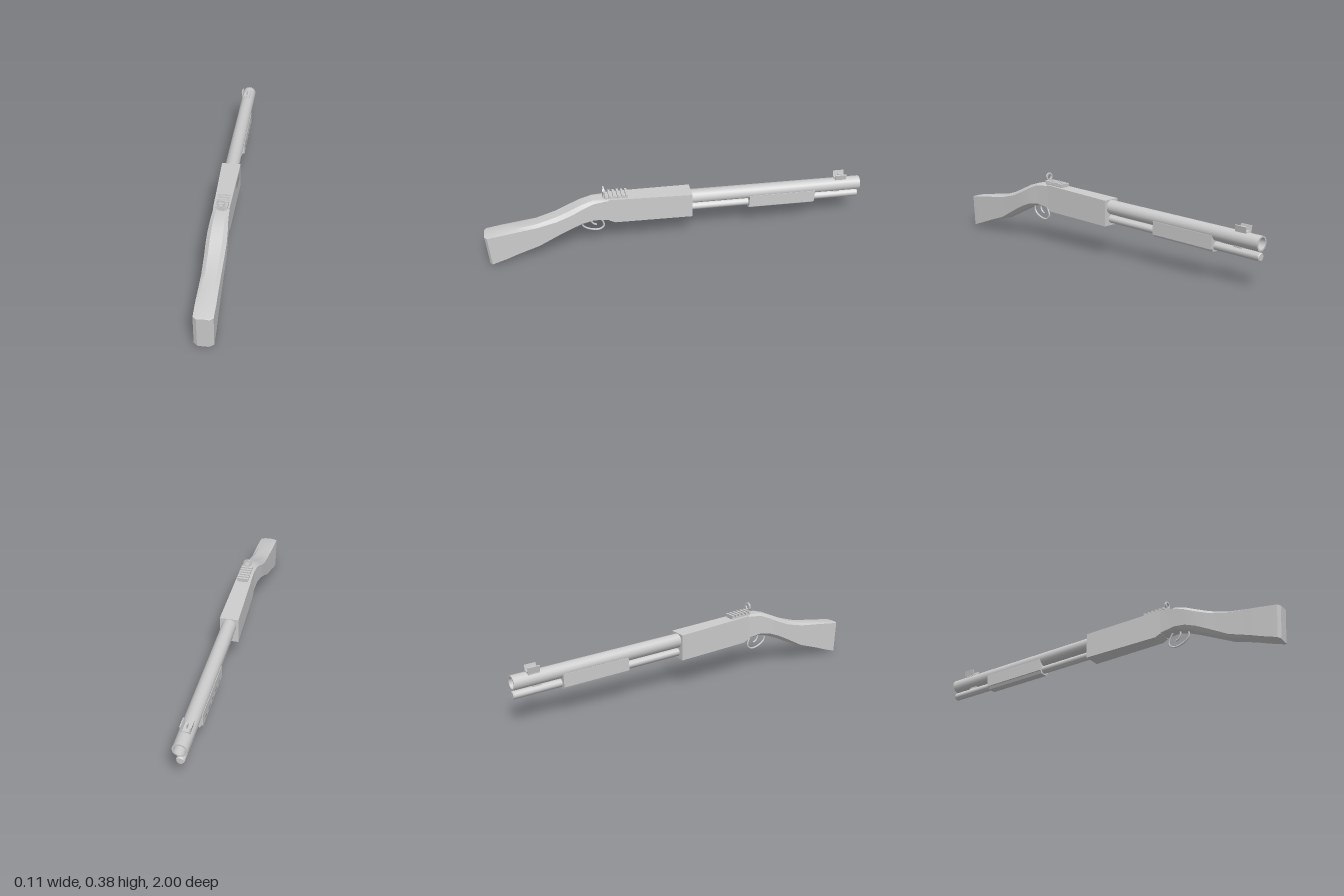
import * as THREE from 'three';
import { toCreasedNormals } from 'three/addons/utils/BufferGeometryUtils.js';

const grey = new THREE.MeshStandardMaterial({ color: 0xcccccc });

function add(parent, name, geometry, x = 0, y = 0, z = 0) {
  const mesh = new THREE.Mesh(geometry, grey);
  mesh.name = name;
  mesh.position.set(x, y, z);
  parent.add(mesh);
  return mesh;
}

// Side outline given as [z, y] points, extruded across x from x0 to x1
const sidePoints = (pts) => pts.map(([z, y]) => new THREE.Vector2(-z, y));
function sideExtrude(outline, holes, x0, x1) {
  const shape = new THREE.Shape(sidePoints(outline));
  for (const h of holes) shape.holes.push(new THREE.Path(sidePoints(h)));
  const g = new THREE.ExtrudeGeometry(shape, { depth: x1 - x0, bevelEnabled: false });
  return g.translate(0, 0, x0).rotateY(Math.PI / 2);
}
const rect = (z0, z1, y0, y1) => [[z0, y0], [z1, y0], [z1, y1], [z0, y1]];

// Chamfered sections [z, bottom, top, halfWidth, chamfer, lean] joined along z
function loft(sections, crease) {
  const pos = [], idx = [], n = 8;
  for (const [z, b, t, w, c, lean = 0] of sections) {
    const ring = [[0.6 * w, b], [w, b + c], [w, t - c], [0.6 * w, t],
      [-0.6 * w, t], [-w, t - c], [-w, b + c], [-0.6 * w, b]];
    for (const [x, y] of ring) pos.push(x, y, z - lean * (t - y) / (t - b));
  }
  for (let s = 0; s < sections.length - 1; s++) {
    for (let i = 0; i < n; i++) {
      const a = s * n + i, a2 = s * n + (i + 1) % n;
      idx.push(a, a2, a2 + n, a, a2 + n, a + n);
    }
  }
  const e = (sections.length - 1) * n;
  for (let i = 1; i < n - 1; i++) idx.push(0, i + 1, i, e, e + i, e + i + 1);
  const g = new THREE.BufferGeometry();
  g.setAttribute('position', new THREE.Float32BufferAttribute(pos, 3));
  g.setIndex(idx);
  return toCreasedNormals(g, crease);
}

// Turned part pointing to -z, profile as [radius, distance]
function turned(profile, sides) {
  const g = new THREE.LatheGeometry(profile.map(([r, d]) => new THREE.Vector2(r, d)), sides);
  return toCreasedNormals(g.rotateX(-Math.PI / 2), 0.6);
}

function tube(points, radius) {
  const curve = new THREE.CatmullRomCurve3(points.map(([z, y]) => new THREE.Vector3(0, y, z)));
  return new THREE.TubeGeometry(curve, 20, radius, 6);
}

export function createModel() {
  const model = new THREE.Group();
  model.name = 'shotgun';

  // Shoulder stock with its curved wrist
  add(model, 'stock', loft([
    [0.355, 0.19, 0.319, 0.039, 0.004],
    [0.44, 0.195, 0.32, 0.043, 0.012],
    [0.50, 0.18, 0.302, 0.048, 0.018],
    [0.56, 0.155, 0.275, 0.05, 0.02],
    [0.63, 0.122, 0.245, 0.048, 0.018],
    [0.73, 0.075, 0.215, 0.046, 0.012],
    [0.84, 0.044, 0.199, 0.047, 0.008],
    [0.90, 0.025, 0.189, 0.048, 0.005],
    [0.988, 0.003, 0.176, 0.047, 0.003, 0.012],
    [1.0, 0, 0.173, 0.03, 0.002, 0.012],
  ], 0.5));

  // Receiver: solid core plus a left wall pierced by the ejection port, tapering to the rear
  const receiver = new THREE.Group();
  receiver.name = 'receiver';
  model.add(receiver);
  const outline = [[-0.075, 0.157], [0.33, 0.175], [0.36, 0.19], [0.36, 0.319], [-0.075, 0.293]];
  const port = [[-0.035, 0.232], [0.07, 0.237], [0.09, 0.25], [0.09, 0.282], [-0.035, 0.276]];
  const taper = (g) => {
    const p = g.attributes.position;
    for (let i = 0; i < p.count; i++) {
      const k = (p.getZ(i) + 0.075) / 0.435;
      p.setX(i, -0.006 + 0.005 * k + p.getX(i) * (0.049 - 0.009 * k));
    }
    g.computeVertexNormals();
    return g;
  };
  add(receiver, 'receiverCore', taper(sideExtrude(outline, [], -1, 0.5)));
  add(receiver, 'portWall', taper(sideExtrude(outline, [port], 0.5, 1)));

  // Trigger and its guard
  add(model, 'triggerGuard', tube([[0.5, 0.19], [0.496, 0.15], [0.46, 0.124], [0.41, 0.116],
    [0.386, 0.135], [0.392, 0.165], [0.41, 0.195]], 0.005));
  add(model, 'trigger', tube([[0.45, 0.2], [0.452, 0.175], [0.44, 0.155], [0.425, 0.147]], 0.005));

  // Ribbed rail and rear ring sight
  const rail = new THREE.Group();
  rail.name = 'rail';
  rail.position.set(0.001, 0.315, 0.32);
  rail.rotation.x = -0.05;
  model.add(rail);
  add(rail, 'railBase', new THREE.BoxGeometry(0.052, 0.016, 0.12), 0, 0.002, 0);
  for (let i = 0; i < 6; i++) {
    add(rail, 'railRib', new THREE.BoxGeometry(0.062, 0.013, 0.011), 0, 0.0155, -0.0545 + i * 0.0218);
  }
  const ring = new THREE.Shape();
  ring.absarc(0, 0, 0.022, 0, Math.PI * 2);
  const eye = new THREE.Path();
  eye.absarc(0, 0, 0.014, 0, Math.PI * 2, true);
  ring.holes.push(eye);
  add(model, 'rearSightRing',
    new THREE.ExtrudeGeometry(ring, { depth: 0.008, bevelEnabled: false, curveSegments: 8 }), 0.001, 0.359, 0.378);
  add(model, 'rearSightStem', new THREE.BoxGeometry(0.032, 0.026, 0.008), 0.001, 0.327, 0.382);

  // Front half, sloping slightly down towards the muzzle
  const front = new THREE.Group();
  front.name = 'frontAssembly';
  front.position.set(-0.007, 0, -0.075);
  front.rotation.x = -0.042;
  model.add(front);
  add(front, 'barrel', turned([[0, -0.03], [0.037, -0.03], [0.037, 0.915], [0.029, 0.915],
    [0.029, 0.75], [0, 0.75]], 16), 0, 0.253, 0);
  add(front, 'magazineTube', turned([[0, -0.03], [0.021, -0.03], [0.021, 0.912], [0.017, 0.917],
    [0, 0.917]], 12), 0, 0.19, 0);
  add(front, 'tubeClamp', new THREE.BoxGeometry(0.018, 0.03, 0.045), 0, 0.212, -0.79);

  // Sliding fore-end: core, chamfered keel and slotted side plates
  const pump = new THREE.Group();
  pump.name = 'foreEnd';
  front.add(pump);
  const section = new THREE.Shape([[-0.031, 0.243], [-0.031, 0.182], [-0.022, 0.163],
    [0.022, 0.163], [0.031, 0.182], [0.031, 0.243]].map(([x, y]) => new THREE.Vector2(x, y)));
  add(pump, 'foreEndCore',
    new THREE.ExtrudeGeometry(section, { depth: 0.36, bevelEnabled: false }), 0, 0, -0.663);
  const slots = [];
  for (let i = 0; i < 5; i++) {
    const z = -0.36 - i * 0.062;
    slots.push(rect(z - 0.016, z + 0.016, 0.187, 0.199));
  }
  for (const s of [-1, 1]) {
    const x0 = s > 0 ? 0.03 : -0.038;
    add(pump, 'foreEndPlate', sideExtrude(rect(-0.663, -0.303, 0.177, 0.245), slots, x0, x0 + 0.008));
  }

  // Front sight: base, centre blade and two flared guards
  const sight = new THREE.Group();
  sight.name = 'frontSight';
  sight.position.set(-0.006, 0.287, -0.806);
  front.add(sight);
  add(sight, 'sightBase', new THREE.BoxGeometry(0.042, 0.014, 0.06), 0, 0, 0);
  add(sight, 'sightBlade', new THREE.BoxGeometry(0.005, 0.024, 0.02), 0, 0.014, 0);
  for (const s of [-1, 1]) {
    add(sight, 'sightGuard', new THREE.BoxGeometry(0.006, 0.036, 0.06), s * 0.021, 0.014, 0).rotation.z = -s * 0.2;
  }
  return model;
}
